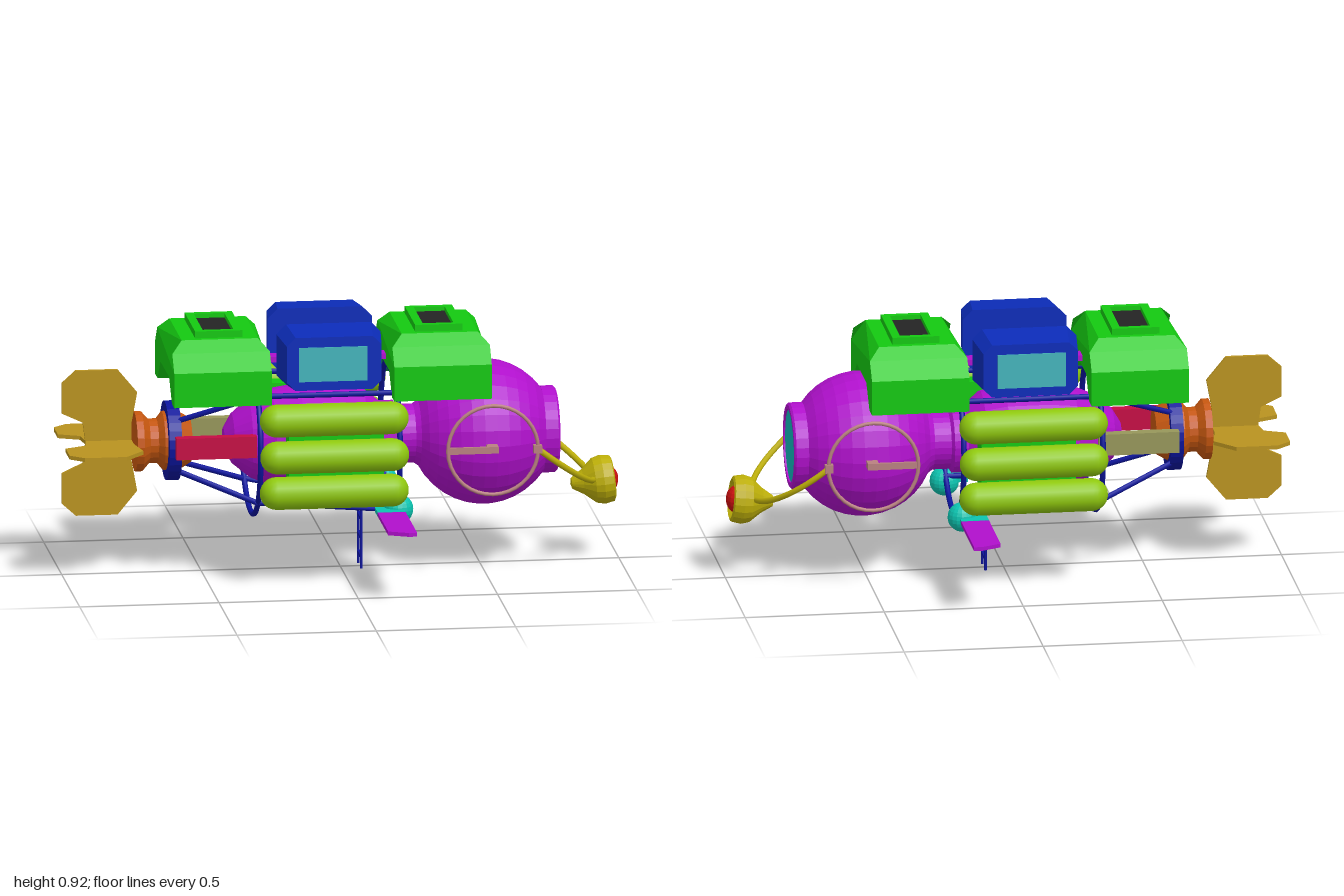
import * as THREE from 'three';

const CY = 0.48; // height of the main axis
const C = {
  purple: 0xb010cc, green: 0x14c811, blue: 0x0c2cb8, navy: 0x0c149c, lime: 0x8fc80e, teal: 0x10b4b8,
  glass: 0x44b4bb, gold: 0xb8921f, orange: 0xc4560f, crimson: 0xc40c44, khaki: 0x96965a,
  pink: 0xb88080, yellow: 0xbcae08, red: 0xcc1010, dark: 0x242424, cyan: 0x0cc4b0,
};

export function createModel() {
  const root = new THREE.Group();
  const V = (x, y, z) => new THREE.Vector3(x, y, z);

  function add(name, geo, color, x = 0, y = 0, z = 0, flat = true) {
    const mat = new THREE.MeshStandardMaterial({ color, flatShading: flat, side: THREE.DoubleSide });
    const m = new THREE.Mesh(geo, mat);
    m.name = name;
    m.position.set(x, y, z);
    root.add(m);
    return m;
  }
  const box = (name, color, w, h, d, x, y, z) => add(name, new THREE.BoxGeometry(w, h, d), color, x, y, z);
  // profile of [x, radius] pairs turned around the x axis
  const turned = (pts, seg = 28) =>
    new THREE.LatheGeometry(pts.map(([x, r]) => new THREE.Vector2(r, x)), seg).rotateZ(-Math.PI / 2);
  const shape = pts => new THREE.Shape(pts.map(p => new THREE.Vector2(...p)));
  const plate = (pts, t) =>
    new THREE.ExtrudeGeometry(shape(pts), { depth: t, bevelEnabled: false }).translate(0, 0, -t / 2);
  function rod(name, color, a, b, r) {
    add(name, new THREE.TubeGeometry(new THREE.LineCurve3(a, b), 1, r, 8), color, 0, 0, 0, false);
  }

  // front cabin: ball with a window rim
  const cabin = [[0.26, 0.105]];
  for (let i = 0; i <= 12; i++) {
    const a = Math.PI * (0.85 - 0.65 * i / 12);
    cabin.push([0.51 + 0.26 * Math.cos(a), 0.26 * Math.sin(a)]);
  }
  cabin.push([0.72, 0.155], [0.765, 0.155], [0.772, 0.148], [0.772, 0.132], [0.76, 0.13]);
  add('cabin', turned(cabin), C.purple, 0, CY);
  add('cabinWindow', turned([[0.75, 0.131], [0.766, 0.131], [0.766, 0]]), C.teal, 0, CY);
  add('neck', turned([[0.1, 0.12], [0.19, 0.12], [0.2, 0.105], [0.28, 0.105]]), C.purple, 0, CY);

  // rear hull
  add('rearHull', turned([[-0.425, 0], [-0.42, 0.04], [-0.39, 0.09], [-0.33, 0.14], [-0.25, 0.175],
    [-0.15, 0.19], [0, 0.19], [0.08, 0.17], [0.14, 0.12]]), C.purple, 0, CY);
  box('topRail', C.purple, 0.5, 0.02, 0.06, -0.06, 0.77, 0);
  box('topRailPost', C.purple, 0.025, 0.13, 0.025, -0.06, 0.705, 0);
  add('bellyWindow', new THREE.SphereGeometry(0.1, 16, 10).scale(1.2, 0.5, 0.9), 0x3a5c9a, -0.1, 0.31, 0);

  // two saddle containers on top, arched underneath, each with a hatch
  const half = [[0.2, 0.66], [0.265, 0.66], [0.265, 0.785], [0.21, 0.845], [0.17, 0.885]];
  const saddle = [[-0.12, 0.74], [0.12, 0.74], ...half, ...half.map(([z, y]) => [-z, y]).reverse()];
  for (const x of [-0.455, 0.335]) {
    const g = plate(saddle, 0.35).rotateY(Math.PI / 2);
    const p = g.attributes.position;
    for (let i = 0; i < p.count; i++) if (p.getY(i) > 0.87) p.setX(i, p.getX(i) * 0.78);
    add('saddleContainer', g, C.green, x);
    const rim = shape([[-0.085, -0.147], [0.085, -0.147], [0.085, 0.147], [-0.085, 0.147]]);
    rim.holes.push(shape([[-0.055, -0.123], [-0.055, 0.123], [0.055, 0.123], [0.055, -0.123]]));
    const r = new THREE.ExtrudeGeometry(rim, { depth: 0.03, bevelEnabled: false }).rotateX(-Math.PI / 2);
    add('hatchRim', r, C.green, x, 0.88);
    box('hatchPanel', C.dark, 0.11, 0.012, 0.246, x, 0.888, 0);
  }

  // ring frame, rails and struts
  for (const x of [-0.32, 0.18]) {
    add('frameRing', new THREE.TorusGeometry(0.272, 0.01, 8, 36).rotateY(Math.PI / 2), C.navy, x, CY, 0, false);
  }
  for (const s of [1, -1]) {
    for (const t of [1, -1]) {
      const y = CY + t * 0.195, z = s * 0.19;
      rod('frameRail', C.navy, V(-0.33, y, z), V(0.19, y, z), 0.01);
      rod('frameStrut', C.navy, V(-0.32, y, z), V(-0.6, CY + t * 0.09, s * 0.09), 0.01);
    }
    rod('frameBrace', C.navy, V(-0.32, 0.285, s * 0.19), V(0.18, 0.21, s * 0.04), 0.008);
  }
  box('frameTopBracket', C.navy, 0.03, 0.02, 0.2, 0.18, 0.735, 0);

  // engine
  add('engineCollar', turned([[-0.63, 0.1], [-0.63, 0.142], [-0.585, 0.142], [-0.585, 0.1], [-0.63, 0.1]]), C.navy, 0, CY);
  add('engineNozzle', turned([[-0.72, 0], [-0.74, 0.108], [-0.715, 0.108], [-0.69, 0.08], [-0.66, 0.08], [-0.64, 0.105],
    [-0.59, 0.11], [-0.54, 0.08], [-0.54, 0]], 20), C.orange, 0, CY);

  // four tail fins from two crossed plates
  const edge = [[-0.925, 0.075], [-1, 0.11], [-1, 0.22], [-0.95, 0.265], [-0.8, 0.265], [-0.73, 0.18], [-0.75, 0.07]];
  const fins = [...edge, ...edge.map(([x, y]) => [x, -y]).reverse(), [-0.915, 0]];
  for (let i = 0; i < 2; i++) add('tailFins', plate(fins, 0.014).rotateX(i * Math.PI / 2), C.gold, 0, CY);

  // parts mirrored on both sides
  for (const s of [1, -1]) {
    // tanks and their carrier
    for (const [y, z] of [[0.35, 0.32], [0.483, 0.333], [0.615, 0.32]]) {
      add('tank', new THREE.CapsuleGeometry(0.059, 0.416, 6, 18).rotateZ(Math.PI / 2), C.lime, -0.063, y, s * z, false);
    }
    box('tankCarrier', C.green, 0.34, 0.3, 0.09, -0.05, CY, s * 0.24);
    box('sideBeam', s > 0 ? C.crimson : C.khaki, 0.29, 0.078, 0.04, -0.465, CY + 0.005, s * 0.15);

    // equipment box with chamfered outline and window
    const w = 0.187, h = 0.11, c = 0.035;
    const oct = [[-w + c, -h], [w - c, -h], [w, -h + c], [w, h - c], [w - c, h], [-w + c, h], [-w, h - c], [-w, -h + c]];
    const pod = plate(oct, 0.16);
    const p = pod.attributes.position;
    for (let i = 0; i < p.count; i++) {
      if (p.getZ(i) * s > 0) p.setXY(i, p.getX(i) * 0.91, p.getY(i) * 0.88);
    }
    add('equipmentBox', pod, C.blue, -0.058, 0.81, s * 0.2);
    box('equipmentWindow', C.glass, 0.245, 0.125, 0.01, -0.062, 0.808, s * 0.279);

    // wing with ball joint
    add('wingJoint', new THREE.SphereGeometry(0.053, 18, 12), C.cyan, 0.18, 0.258, s * 0.226);
    box('wingRoot', C.cyan, 0.1, 0.016, 0.08, 0.145, 0.258, s * 0.265);
    const wing = plate([[0.095, 0.3], [0.195, 0.3], [0.195, 0.628], [0.165, 0.628], [0.095, 0.595]], 0.014);
    wing.rotateX(Math.PI / 2);
    if (s < 0) wing.rotateX(Math.PI);
    add('wing', wing, C.purple, 0, 0.258);

    // side hoop with bracket
    add('sideHoop', new THREE.TorusGeometry(0.162, 0.007, 8, 36), C.pink, 0.51, CY, s * 0.3, false);
    box('hoopBar', C.pink, 0.18, 0.024, 0.012, 0.44, CY, s * 0.298);
    box('hoopBracket', C.pink, 0.04, 0.024, 0.06, 0.51, CY, s * 0.27);
    box('hoopJoint', C.pink, 0.03, 0.03, 0.022, 0.67, CY, s * 0.3);

    // curved lamp arm
    const arc = [];
    for (let i = 0; i <= 8; i++) {
      const a = i / 8 * Math.PI / 2, k = Math.sin(a);
      arc.push(V(0.67 + 0.235 * k, CY - 0.18 * k, s * 0.3 * Math.cos(a)));
    }
    add('lampArm', new THREE.TubeGeometry(new THREE.CatmullRomCurve3(arc), 24, 0.011, 8), C.yellow, 0, 0, 0, false);

    rod('ladderSide', C.navy, V(0.07, 0, s * 0.04), V(0.07, 0.3, s * 0.04), 0.005);
  }

  // ladder rungs
  for (const y of [0.045, 0.115, 0.185, 0.255]) box('ladderRung', C.navy, 0.01, 0.01, 0.08, 0.07, y, 0);

  // lamp at the nose
  const lamp = add('lampShade', turned([[-0.105, 0], [-0.1, 0.02], [-0.06, 0.045], [-0.02, 0.08], [0.01, 0.088], [0.045, 0.082],
    [0.05, 0.072], [0.03, 0.055], [0.025, 0]], 20), C.yellow, 0.93, 0.288);
  lamp.rotation.z = 0.1;
  add('lampBulb', new THREE.SphereGeometry(0.05, 16, 10).scale(0.8, 1, 1), C.red, 0.958, 0.29, 0);

  return root;
}
